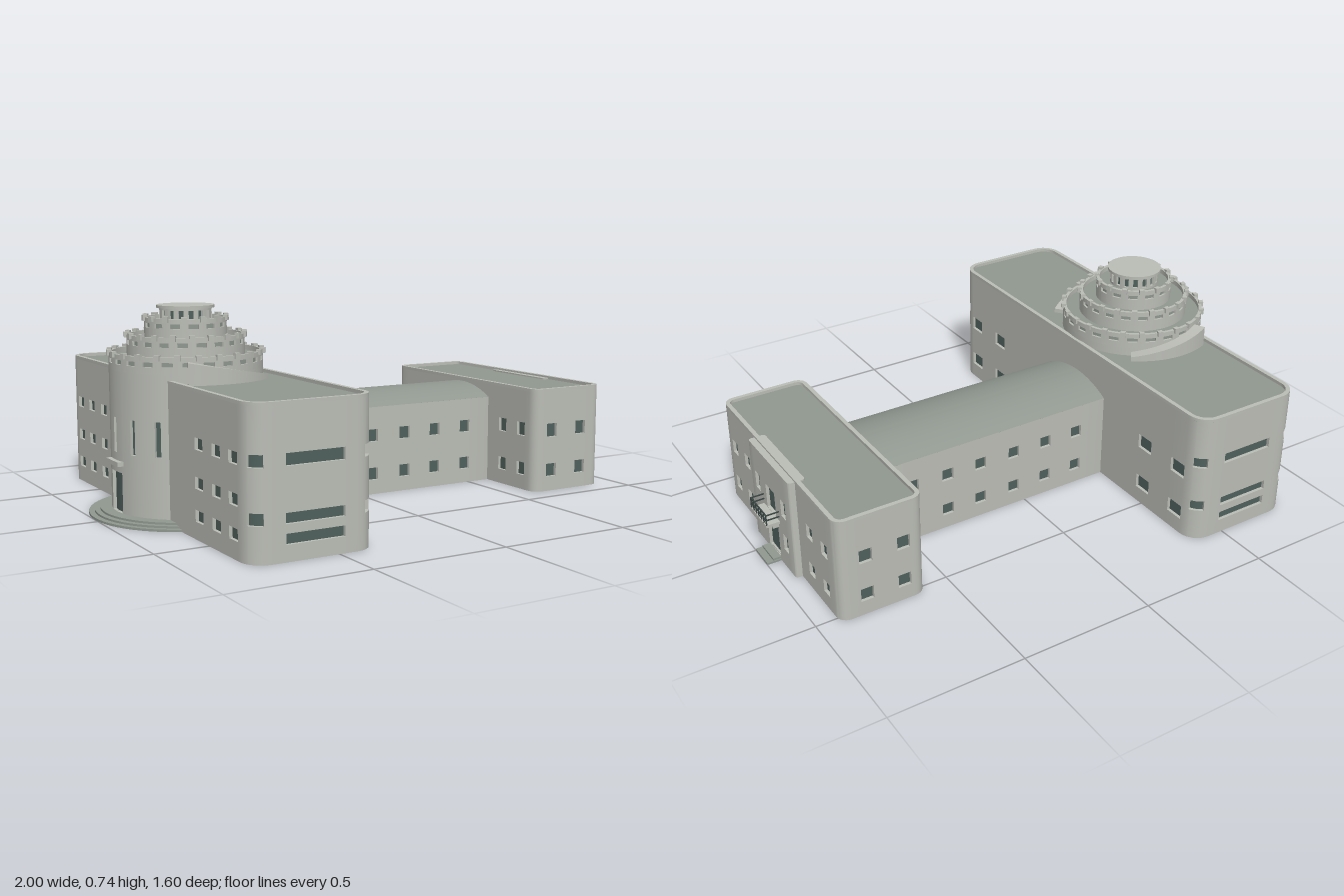
import * as THREE from 'three';
import { toCreasedNormals } from 'three/addons/utils/BufferGeometryUtils.js';

const mat = (name, color) => Object.assign(new THREE.MeshStandardMaterial({ color }), { name });
const CX = -0.645, CZ = -0.027; // tower axis

export function createModel() {
  const wall = mat('plaster', 0xbbbdb6), roof = mat('roofing', 0x909890);
  const glass = mat('glass', 0x50615d), metal = mat('railing', 0x3a4643);
  const model = new THREE.Group();
  model.name = 'building';

  function add(parent, name, geo, material, x = 0, y = 0, z = 0) {
    const m = new THREE.Mesh(geo, material);
    m.name = name;
    m.position.set(x, y, z);
    parent.add(m);
    return m;
  }
  const box = (parent, name, material, x0, x1, y0, y1, z0, z1) =>
    add(parent, name, new THREE.BoxGeometry(x1 - x0, y1 - y0, z1 - z0), material,
      (x0 + x1) / 2, (y0 + y1) / 2, (z0 + z1) / 2);
  const group = (name) => {
    const g = new THREE.Group();
    g.name = name;
    model.add(g);
    return g;
  };
  const unique = (a) => a.sort((p, q) => p - q).filter((v, i) => i === 0 || v - a[i - 1] > 1e-5);

  // Wall following a path, with recessed openings [u0, u1, y0, y1]
  function facade(parent, name, at, us, y0, y1, wins, depth, fill) {
    const U = unique([...us, ...wins.flatMap((w) => [w[0], w[1]])]);
    const V = unique([y0, y1, ...wins.flatMap((w) => [w[2], w[3]])]);
    const open = (i, j) => {
      const u = (U[i] + U[i + 1]) / 2, v = (V[j] + V[j + 1]) / 2;
      return wins.some((w) => u > w[0] && u < w[1] && v > w[2] && v < w[3]);
    };
    const solid = [], panes = [];
    const quad = (out, a, b, c, d) => out.push(...a, ...b, ...c, ...a, ...c, ...d);
    const p = (u, v, d) => { const [x, z] = at(u, d); return [x, v, z]; };
    for (let i = 0; i < U.length - 1; i++) for (let j = 0; j < V.length - 1; j++) {
      const a = U[i], b = U[i + 1], c = V[j], e = V[j + 1], D = depth;
      if (!open(i, j)) { quad(solid, p(a, c, 0), p(b, c, 0), p(b, e, 0), p(a, e, 0)); continue; }
      quad(panes, p(a, c, D), p(b, c, D), p(b, e, D), p(a, e, D));
      if (!open(i - 1, j)) quad(solid, p(a, c, 0), p(a, c, D), p(a, e, D), p(a, e, 0));
      if (!open(i + 1, j)) quad(solid, p(b, c, D), p(b, c, 0), p(b, e, 0), p(b, e, D));
      if (!open(i, j - 1)) quad(solid, p(a, c, 0), p(b, c, 0), p(b, c, D), p(a, c, D));
      if (!open(i, j + 1)) quad(solid, p(a, e, D), p(b, e, D), p(b, e, 0), p(a, e, 0));
    }
    const emit = (label, list, material) => {
      if (!list.length) return;
      const g = new THREE.BufferGeometry();
      g.setAttribute('position', new THREE.Float32BufferAttribute(list, 3));
      add(parent, label, toCreasedNormals(g, 0.5), material);
    };
    emit(name + 'Wall', solid, wall);
    emit(name + 'Openings', panes, fill);
  }

  // Rounded rectangle walked front, right, back, left
  function roundedPath(x0, x1, z0, z1, r) {
    const w = x1 - x0 - 2 * r, l = z1 - z0 - 2 * r, q = Math.PI * r / 2;
    const sides = [[x0 + r, z1 - r, w], [x1 - r, z1 - r, l], [x1 - r, z0 + r, w], [x0 + r, z0 + r, l]];
    const starts = [0, w + q, w + q + l + q, 2 * w + l + 3 * q];
    const us = starts.flatMap((s, k) => [s, ...[0, 1, 2, 3, 4, 5, 6].map((n) => s + sides[k][2] + q * n / 6)]);
    const at = (u, d) => {
      let k = 3;
      while (k > 0 && u < starts[k] - 1e-9) k--;
      const t = u - starts[k], len = sides[k][2], run = Math.min(t, len);
      const base = k * Math.PI / 2, a = base + Math.max(0, t - len) / r;
      return [sides[k][0] + run * Math.cos(base) + (r - d) * Math.sin(a),
        sides[k][1] - run * Math.sin(base) + (r - d) * Math.cos(a)];
    };
    const toU = [(c) => c - x0 - r, (c) => starts[1] + z1 - r - c,
      (c) => starts[2] + x1 - r - c, (c) => starts[3] + c - z0 - r];
    const corner = (k, f) => starts[k] + sides[k][2] + q * f;
    return { at, us: unique(us), toU, corner };
  }

  function slab(path, inset, y0, y1, hole) {
    const pts = (d) => path.us.slice(0, -1).map((u) => { const [x, z] = path.at(u, d); return new THREE.Vector2(x, -z); });
    const s = new THREE.Shape(pts(inset));
    if (hole) s.holes.push(new THREE.Path(pts(hole)));
    const g = new THREE.ExtrudeGeometry(s, { depth: y1 - y0, bevelEnabled: false });
    return toCreasedNormals(g.rotateX(-Math.PI / 2).translate(0, y0, 0), 0.5);
  }

  // Flat-roofed block; sides = window lists [centre, width, y0, y1] for front, right, back, left
  function block(name, x0, x1, z0, z1, h, r, sides, corners = [], cover = roof, lip = 0.012) {
    const g = group(name), path = roundedPath(x0, x1, z0, z1, r);
    const wins = sides.flatMap((list, k) => list.map(([c, w, a, b]) =>
      [path.toU[k](c) - w / 2, path.toU[k](c) + w / 2, a, b]));
    for (const [a, b] of corners) for (let k = 0; k < 4; k++)
      wins.push([path.corner(k, 0.28), path.corner(k, 0.75), a, b]);
    facade(g, name, path.at, path.us, 0, h - lip, wins, 0.012, glass);
    add(g, name + 'Floor', slab(path, 0.0005, 0, 0.005), wall);
    add(g, name + 'Roof', slab(path, 0.0005, h - lip - 0.01, h - lip), cover);
    if (lip) add(g, name + 'Parapet', slab(path, 0, h - lip, h, 0.016), wall);
    return g;
  }
  const grid = (centres, w, rows) => centres.flatMap((c) => rows.map(([a, b]) => [c, w, a, b]));

  // Main block
  const strips = grid([-0.585], 0.21, [[0.3, 0.34], [0.12, 0.155], [0.055, 0.09]]);
  block('mainBlock', -0.81, -0.36, -0.8, 0.8, 0.5, 0.075, [
    strips,
    grid([0.682, 0.5, -0.5, -0.688], 0.074, [[0.235, 0.29], [0.06, 0.115]]),
    strips,
    grid([0.68, 0.56, 0.43, -0.43, -0.56, -0.68], 0.06, [[0.3, 0.34], [0.17, 0.21], [0.06, 0.1]]),
  ], [[0.3, 0.34], [0.12, 0.16]]);

  // Connecting wing with a shallow barrel roof
  const wingWins = grid([-0.233, -0.092, 0.05, 0.195, 0.335, 0.479], 0.046, [[0.203, 0.25], [0.055, 0.102]]);
  const wing = block('wing', -0.42, 0.64, -0.24, 0.12, 0.335, 0.004, [wingWins, [], wingWins, []], [], roof, 0);
  const arch = new THREE.Shape();
  const R = 0.383, half = Math.asin(0.18 / R);
  arch.absarc(0, 0.38 - R, R, Math.PI / 2 - half, Math.PI / 2 + half, false);
  const barrel = new THREE.ExtrudeGeometry(arch, { depth: 1.03, bevelEnabled: false, curveSegments: 20 });
  add(wing, 'barrelRoof', toCreasedNormals(barrel.rotateY(Math.PI / 2), 0.5), roof, -0.41, 0, -0.06);

  // East block
  const rows = [[0.21, 0.262], [0.056, 0.106]];
  const ends = grid([0.676, 0.818], 0.048, rows), long = grid([0.328, 0.214, -0.316, -0.43], 0.046, rows);
  block('eastBlock', 0.595, 0.92, -0.53, 0.415, 0.397, 0.04, [ends, long, ends, long]);

  // Entrance bay with door, steps and balcony
  const bay = block('entranceBay', 0.88, 0.945, -0.227, 0.117, 0.39, 0.012, [[], [
    ...grid([0.056, -0.16], 0.038, [[0.215, 0.283], [0.073, 0.137]]),
    [-0.053, 0.075, 0.18, 0.277], [-0.052, 0.096, 0.015, 0.142]], [], []], [], wall, 0);
  box(bay, 'lowerStep', roof, 0.94, 1, 0, 0.007, -0.104, 0);
  box(bay, 'upperStep', roof, 0.94, 0.975, 0.007, 0.015, -0.1, -0.004);
  const [b0, b1] = [-0.122, 0.014];
  box(bay, 'balconySlab', wall, 0.94, 0.997, 0.168, 0.178, b0, b1);
  for (const z of [b0 + 0.012, b1 - 0.022]) box(bay, 'balconyBracket', wall, 0.94, 0.968, 0.148, 0.168, z, z + 0.01);
  for (const y of [0.196, 0.216]) {
    box(bay, 'frontRail', metal, 0.991, 0.996, y, y + 0.004, b0, b1);
    for (const z of [b0, b1 - 0.004]) box(bay, 'sideRail', metal, 0.944, 0.994, y, y + 0.004, z, z + 0.004);
  }
  for (let i = 0; i < 7; i++) {
    const z = b0 + (b1 - b0 - 0.004) * i / 6;
    box(bay, 'railPost', metal, 0.992, 0.996, 0.178, 0.218, z, z + 0.004);
  }

  // Round tower
  const tower = group('tower');
  const ring = (r) => (a, d) => [CX + (r - d) * Math.sin(a), CZ + (r - d) * Math.cos(a)];
  const turn = Array.from({ length: 65 }, (_, i) => i * Math.PI / 32);
  const disc = (name, material, r, y0, y1) =>
    add(tower, name, new THREE.CylinderGeometry(r, r, y1 - y0, 64), material, CX, (y0 + y1) / 2, CZ);
  const around = (n, share, y0, y1) => Array.from({ length: n }, (_, i) => {
    const c = (i + 0.5) * 2 * Math.PI / n, w = share * Math.PI / n;
    return [c - w, c + w, y0, y1];
  });
  const west = Math.PI * 1.5;
  const slits = [-0.78, -0.4, 0, 0.4, 0.78].map((a) => [west + a - 0.04, west + a + 0.04, 0.235, 0.357]);
  facade(tower, 'towerBody', ring(0.273), turn, 0, 0.52, [...slits, [west - 0.17, west + 0.17, 0.022, 0.165]], 0.012, glass);
  box(tower, 'doorHood', wall, -0.934, -0.9, 0.19, 0.206, CZ - 0.055, CZ + 0.055);
  [[0.355, 0, 0.008], [0.335, 0.008, 0.015], [0.315, 0.015, 0.022]].forEach(([r, a, b]) => disc('roundStep', roof, r, a, b));

  // Stepped crown: slotted parapets with merlons
  for (const [r, y0, y1, n] of [[0.273, 0.52, 0.578, 24], [0.209, 0.555, 0.638, 20], [0.146, 0.615, 0.697, 14]]) {
    facade(tower, 'tier', ring(r), turn, y0, y1, around(n, 0.55, y1 - 0.034, y1 - 0.018), 0.008, roof);
    disc('tierFloor', roof, r - 0.009, y1 - 0.03, y1 - 0.018);
    const lip = [[r, y1], [r - 0.012, y1], [r - 0.012, y1 - 0.02]].map((p) => new THREE.Vector2(...p));
    add(tower, 'tierRim', toCreasedNormals(new THREE.LatheGeometry(lip, 64), 0.5), wall, CX, 0, CZ);
    for (let i = 0; i < n; i++) {
      const a = i * 2 * Math.PI / n;
      const m = add(tower, 'merlon', new THREE.BoxGeometry(0.02, 0.02, 0.017), wall,
        CX + r * Math.sin(a), y1 - 0.002, CZ + r * Math.cos(a));
      m.rotation.y = a;
    }
  }
  facade(tower, 'lantern', ring(0.093), turn, 0.67, 0.73, around(16, 0.5, 0.688, 0.722), 0.01, glass);
  disc('lanternCap', wall, 0.103, 0.729, 0.739);

  // Curved sloping walls on both sides of the tower
  for (const side of [1, -1]) {
    const g = new THREE.BoxGeometry(1, 1, 1, 20, 1, 1), p = g.attributes.position;
    for (let i = 0; i < p.count; i++) {
      const t = p.getX(i) + 0.5, a = -0.4 + 1.06 * t, r = 0.298 + 0.044 * p.getZ(i);
      p.setXYZ(i, r * Math.sin(a), p.getY(i) < 0 ? 0.48 : 0.565 - 0.06 * t, r * Math.cos(a));
    }
    add(tower, 'curvedRamp', toCreasedNormals(g, 0.5), wall, CX, 0, CZ).scale.z = side;
  }
  return model;
}
